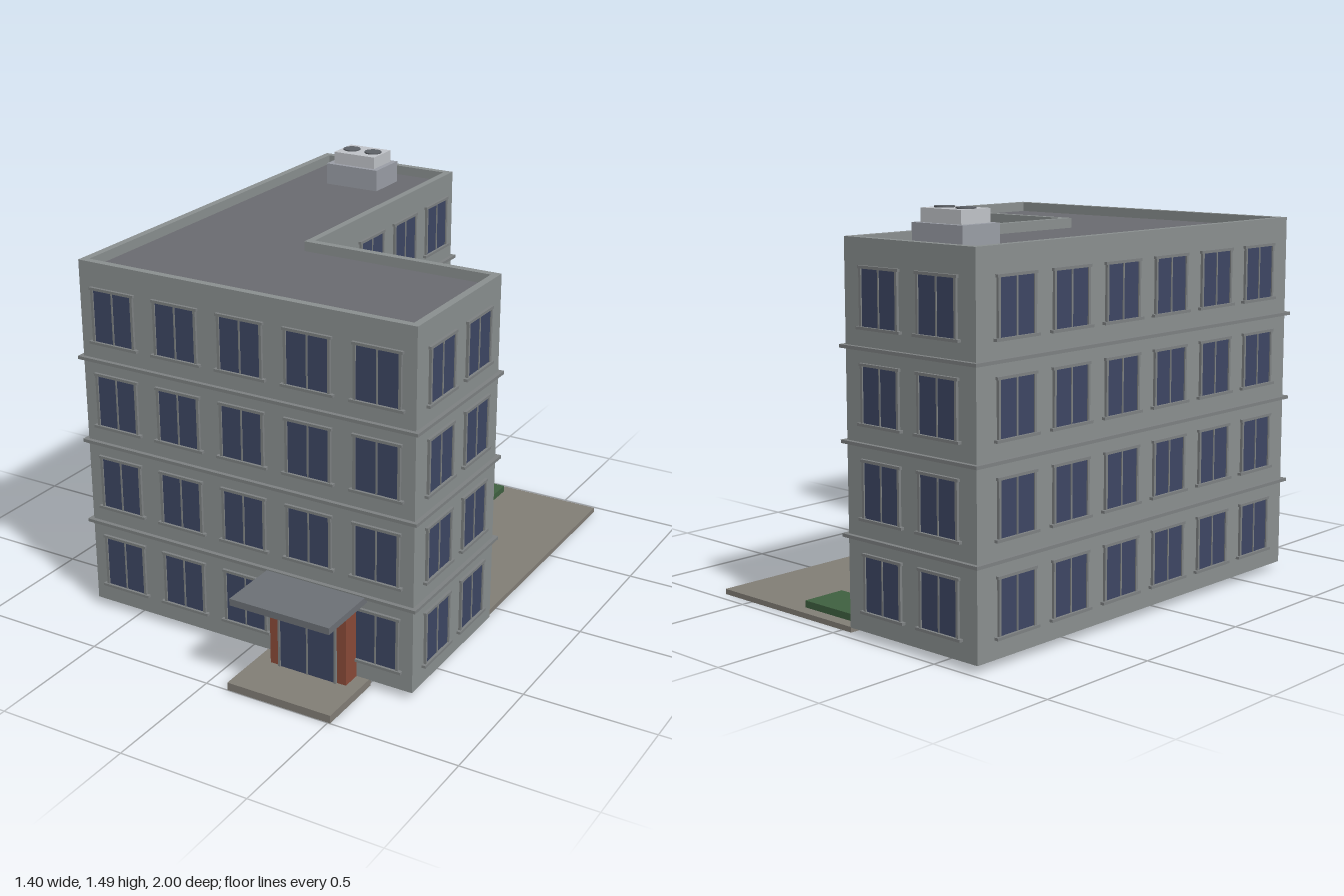
import * as THREE from 'three';
import { mergeGeometries } from 'three/addons/utils/BufferGeometryUtils.js';

const mat = (color) => new THREE.MeshStandardMaterial({ color, flatShading: true });

export function createModel() {
  const model = new THREE.Group();
  const wallMat = mat(0x8a8f8f), trimMat = mat(0x7d8182), roofMat = mat(0x6a6b70), glassMat = mat(0x3d4663),
    brickMat = mat(0x8a4a38), pavingMat = mat(0x827e76), grassMat = mat(0x3f6040), slabMat = mat(0x6c7076),
    unitMat = mat(0x9a9ea6), unitTopMat = mat(0xc0c3c8), fanMat = mat(0x5c6066);

  const add = (name, geo, material, parent = model) => {
    const mesh = new THREE.Mesh(geo, material);
    mesh.name = name;
    parent.add(mesh);
    return mesh;
  };
  // Box from its minimum and maximum corners
  const span = (x0, x1, y0, y1, z0, z1) =>
    new THREE.BoxGeometry(x1 - x0, y1 - y0, z1 - z0).translate((x0 + x1) / 2, (y0 + y1) / 2, (z0 + z1) / 2);

  // L-shaped plan, grown outwards by d
  const X = 0.682, FRONT = 0.733, BACK = -0.982, INNER_X = -0.073, INNER_Z = 0.12;
  const plan = (d) => [
    [-X - d, FRONT + d], [X + d, FRONT + d], [X + d, INNER_Z - d],
    [INNER_X + d, INNER_Z - d], [INNER_X + d, BACK - d], [-X - d, BACK - d],
  ].map(([x, z]) => new THREE.Vector2(x, -z));
  const extrudePlan = (d, y0, y1, hole) => {
    const shape = new THREE.Shape(plan(d));
    if (hole !== undefined) shape.holes.push(new THREE.Path(plan(hole)));
    return new THREE.ExtrudeGeometry(shape, { depth: y1 - y0, bevelEnabled: false })
      .rotateX(-Math.PI / 2).translate(0, y0, 0);
  };

  // Walls, parapet, roof and the ledges between floors
  const ROOF = 1.35, TOP = 1.387, STOREY = 0.328;
  add('walls', extrudePlan(0, 0.03, ROOF - 0.005), wallMat);
  add('parapet', extrudePlan(0, ROOF - 0.005, TOP, -0.028), wallMat);
  add('roof', extrudePlan(-0.028, ROOF - 0.005, ROOF), roofMat);
  for (let i = 1; i < 4; i++) {
    const y = 0.033 + i * STOREY;
    add('floorLedge', extrudePlan(0.016, y - 0.006, y + 0.006), trimMat);
  }

  // Window: two panes, frame, mullion, lintel and sill, facing +z
  const w = 0.084, h = 0.1;
  const glassGeo = span(-w, w, -h, h, -0.005, 0.005);
  const frameGeo = mergeGeometries([
    span(-w - 0.007, -w + 0.003, -h, h, -0.005, 0.01),
    span(w - 0.003, w + 0.007, -h, h, -0.005, 0.01),
    span(-0.003, 0.003, -h, h, -0.005, 0.008),
    span(-w - 0.012, w + 0.012, h - 0.003, h + 0.007, -0.005, 0.011),
    span(-w - 0.02, w + 0.02, -h - 0.007, -h + 0.003, -0.005, 0.015),
  ]);
  const addWindow = (x, y, z, turn) => {
    const win = new THREE.Group();
    win.name = 'window';
    add('windowGlass', glassGeo, glassMat, win);
    add('windowFrame', frameGeo, trimMat, win);
    win.position.set(x, y, z);
    win.rotation.y = turn;
    model.add(win);
  };

  // Facades: middle of the wall, number of windows and turn about y
  const midWing = (INNER_Z + FRONT) / 2, midCourt = (INNER_Z + BACK) / 2;
  const facades = [
    { x: 0, z: FRONT, count: 5, turn: 0, skip: 3 },
    { x: X, z: midWing, count: 2, turn: Math.PI / 2 },
    { x: INNER_X, z: midCourt, count: 4, turn: Math.PI / 2 },
    { x: (INNER_X + X) / 2, z: INNER_Z, count: 2, turn: Math.PI },
    { x: (INNER_X - X) / 2, z: BACK, count: 2, turn: Math.PI },
    { x: -X, z: (FRONT + BACK) / 2, count: 6, turn: -Math.PI / 2 },
  ];
  for (const { x, z, count, turn, skip } of facades) {
    for (let floor = 0; floor < 4; floor++) {
      for (let i = 0; i < count; i++) {
        if (floor === 0 && i === skip) continue; // the entrance stands here
        const s = (i - (count - 1) / 2) * 0.269;
        addWindow(x + s * Math.cos(turn), 0.204 + floor * STOREY, z - s * Math.sin(turn), turn);
      }
    }
  }

  // Entrance: step, brick portal, glazed double door and canopy
  const entrance = new THREE.Group();
  entrance.name = 'entrance';
  model.add(entrance);
  add('entranceStep', span(0.09, 0.51, 0.001, 0.031, 0.72, 1), pavingMat, entrance);
  add('brickPortal', span(0.148, 0.46, 0, 0.338, 0.72, 0.808), brickMat, entrance);
  add('doorGlass', span(0.19, 0.418, 0.031, 0.297, 0.8, 0.812), glassMat, entrance);
  add('doorFrame', mergeGeometries([
    span(0.185, 0.193, 0.031, 0.3, 0.8, 0.817),
    span(0.415, 0.423, 0.031, 0.3, 0.8, 0.817),
    span(0.301, 0.307, 0.031, 0.3, 0.8, 0.815),
    span(0.18, 0.428, 0.294, 0.304, 0.8, 0.818),
  ]), trimMat, entrance);
  add('canopy', span(0.1, 0.5, 0.337, 0.363, 0.72, 0.988), slabMat, entrance);

  // Courtyard and its planted bed
  add('courtyard', span(-0.047, 0.652, 0, 0.02, -0.957, 0.085), pavingMat);
  add('plantBed', span(-0.018, 0.25, 0.018, 0.046, -0.91, -0.735), grassMat);

  // Rooftop cooling unit with two fans
  const cooler = new THREE.Group();
  cooler.name = 'coolingUnit';
  model.add(cooler);
  add('coolerBase', span(-0.5, -0.265, ROOF - 0.003, 1.436, -0.853, -0.677), unitMat, cooler);
  add('coolerTop', span(-0.475, -0.287, 1.43, 1.484, -0.833, -0.695), unitTopMat, cooler);
  for (const x of [-0.431, -0.331]) {
    add('fan', new THREE.CylinderGeometry(0.035, 0.035, 0.012, 20).translate(x, 1.483, -0.765), fanMat, cooler);
  }
  return model;
}
